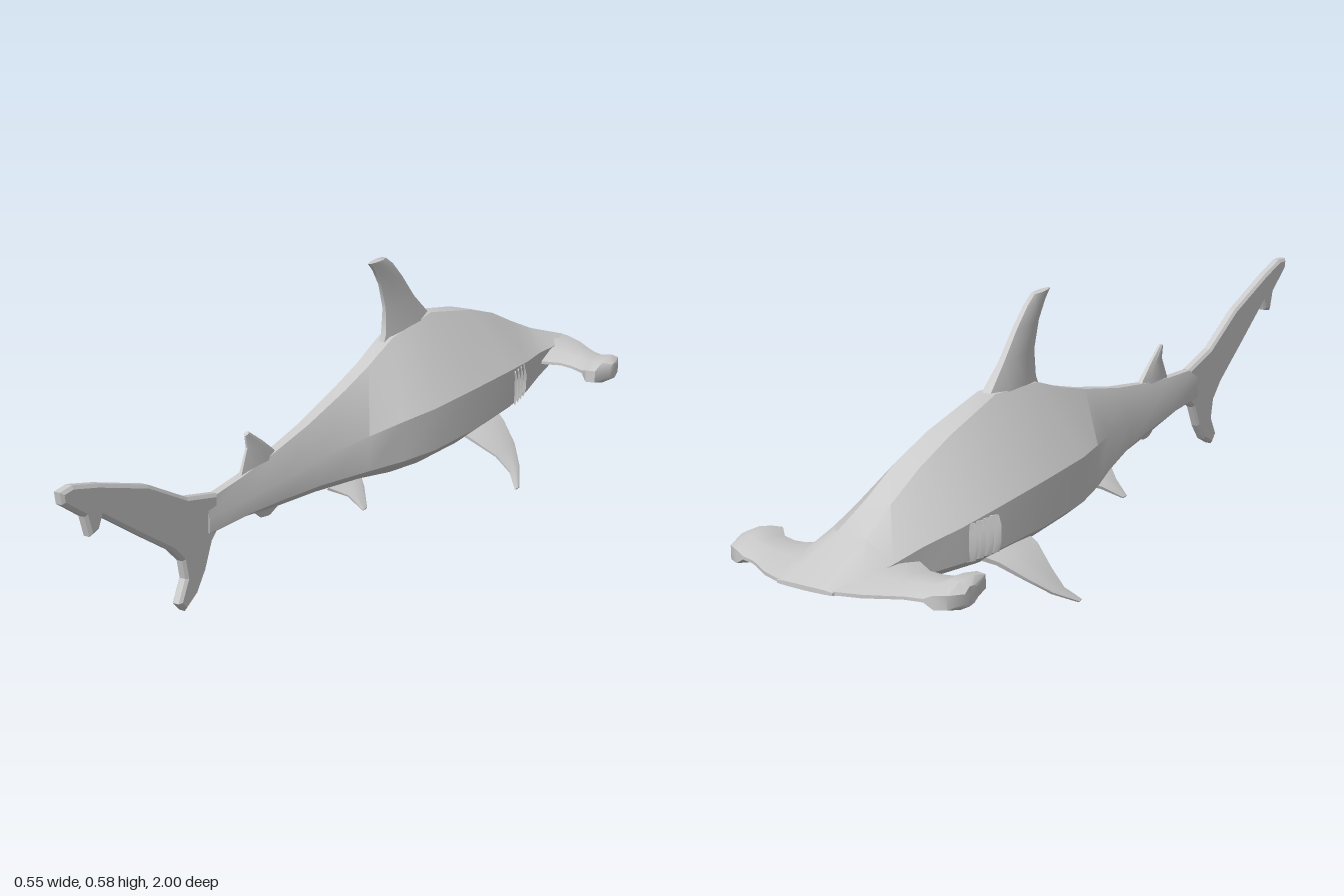
import * as THREE from 'three';
import { toCreasedNormals } from 'three/addons/utils/BufferGeometryUtils.js';

const material = new THREE.MeshStandardMaterial({ color: 0xcccccc });

// Skins a row of closed rings, caps both ends and turns the faces outward.
function loft(rings, crease = 0.6) {
  const n = rings[0].length;
  const points = rings.flat().map((p) => new THREE.Vector3(...p));
  const tris = [];
  for (let r = 0; r < rings.length - 1; r++) {
    for (let i = 0; i < n; i++) {
      const a = r * n + i, b = r * n + (i + 1) % n;
      tris.push([a, b, b + n], [a, b + n, a + n]);
    }
  }
  [0, rings.length - 1].forEach((r, end) => {
    const centre = new THREE.Vector3();
    for (let i = 0; i < n; i++) centre.addScaledVector(points[r * n + i], 1 / n);
    const c = points.push(centre) - 1;
    for (let i = 0; i < n; i++) {
      const a = r * n + i, b = r * n + (i + 1) % n;
      tris.push(end ? [a, b, c] : [b, a, c]);
    }
  });
  const cross = new THREE.Vector3();
  const volume = tris.reduce((sum, [a, b, c]) =>
    sum + points[a].dot(cross.crossVectors(points[b], points[c])), 0);
  if (volume < 0) tris.forEach((t) => t.reverse());
  const geometry = new THREE.BufferGeometry();
  geometry.setAttribute('position', new THREE.Float32BufferAttribute(
    points.flatMap((p) => p.toArray()), 3));
  geometry.setIndex(tris.flat());
  return toCreasedNormals(geometry, crease);
}

// Fin from rows of [front point, back point, half thickness]; side is the thickness direction.
function fin(rows, side) {
  const profile = [[0, 0.5], [0.3, 1], [0.7, 0.8], [1, 0.3]];
  const loop = [...profile, ...profile.map(([t, k]) => [t, -k]).reverse()];
  return loft(rows.map(([front, back, half]) => loop.map(([t, k]) =>
    front.map((f, i) => f + (back[i] - f) * t + side[i] * half * k))));
}

export function createModel() {
  const shark = new THREE.Group();
  shark.name = 'hammerheadShark';
  const add = (name, geometry) => {
    const mesh = new THREE.Mesh(geometry, material);
    mesh.name = name;
    shark.add(mesh);
  };

  // Body: z, ridge y, ridge half width, half width, shoulder y, lower side y, belly y
  const sections = [
    [-1.0, 0.192, 0.05, 0.065, 0.19, 0.184, 0.182],
    [-0.94, 0.211, 0.045, 0.09, 0.197, 0.176, 0.165],
    [-0.85, 0.245, 0.035, 0.1, 0.205, 0.165, 0.14],
    [-0.76, 0.285, 0.03, 0.11, 0.215, 0.155, 0.118],
    [-0.66, 0.332, 0.03, 0.13, 0.225, 0.15, 0.1],
    [-0.55, 0.368, 0.028, 0.142, 0.235, 0.145, 0.083],
    [-0.37, 0.408, 0.022, 0.142, 0.24, 0.14, 0.07],
    [-0.2, 0.39, 0.018, 0.132, 0.24, 0.14, 0.075],
    [-0.1, 0.352, 0.016, 0.108, 0.235, 0.14, 0.085],
    [0.0, 0.322, 0.015, 0.078, 0.225, 0.143, 0.105],
    [0.15, 0.285, 0.012, 0.046, 0.215, 0.152, 0.122],
    [0.28, 0.262, 0.01, 0.034, 0.205, 0.16, 0.135],
    [0.4, 0.246, 0.009, 0.025, 0.2, 0.166, 0.155],
    [0.53, 0.236, 0.009, 0.014, 0.2, 0.165, 0.157],
  ];
  add('body', loft(sections.map(([z, top, ridge, w, shoulder, low, belly]) => {
    const half = [[ridge, top], [w, shoulder], [w, low], [w * 0.65, belly + (low - belly) * 0.4]];
    return [
      ...half.map(([x, y]) => [x, y, z]), [0, belly, z],
      ...half.map(([x, y]) => [-x, y, z]).reverse(),
    ];
  })));

  // Hammer: x, front z, back z, middle y, half thickness
  const wing = [
    [0, -1, -0.76, 0.188, 0.018],
    [0.07, -0.995, -0.76, 0.188, 0.018],
    [0.115, -0.975, -0.78, 0.185, 0.018],
    [0.15, -0.95, -0.8, 0.182, 0.016],
    [0.18, -0.93, -0.798, 0.18, 0.016],
    [0.215, -0.918, -0.785, 0.178, 0.018],
    [0.235, -0.914, -0.765, 0.176, 0.029],
    [0.258, -0.902, -0.77, 0.176, 0.029],
    [0.274, -0.865, -0.82, 0.175, 0.02],
  ];
  const hammer = [...wing.slice(1).reverse().map(([x, ...rest]) => [-x, ...rest]), ...wing];
  add('hammerHead', loft(hammer.map(([x, f, b, y, t]) => {
    const edge = Math.abs(x) > 0.22 ? 0.5 : 0.2;
    const outline = [[0, edge], [0.35, 1], [0.7, 0.9], [1, edge]];
    return [...outline, ...outline.map(([u, k]) => [u, -k]).reverse()]
      .map(([u, k]) => [x, y + t * k, f + (b - f) * u]);
  }), 0.7));

  // Dorsal fins
  add('dorsalFin', fin([
    [[0, 0.36, -0.42], [0, 0.36, -0.17], 0.026],
    [[0, 0.41, -0.37], [0, 0.4, -0.19], 0.022],
    [[0, 0.46, -0.315], [0, 0.46, -0.192], 0.014],
    [[0, 0.52, -0.262], [0, 0.52, -0.172], 0.012],
    [[0, 0.56, -0.22], [0, 0.56, -0.145], 0.011],
    [[0, 0.58, -0.19], [0, 0.58, -0.125], 0.01],
  ], [1, 0, 0]));
  add('rearDorsalFin', fin([
    [[0, 0.235, 0.25], [0, 0.235, 0.4], 0.013],
    [[0, 0.268, 0.275], [0, 0.258, 0.39], 0.011],
    [[0, 0.3, 0.315], [0, 0.3, 0.37], 0.008],
    [[0, 0.335, 0.365], [0, 0.328, 0.375], 0.005],
  ], [1, 0, 0]));
  add('analFin', fin([
    [[0, 0.165, 0.2], [0, 0.17, 0.4], 0.012],
    [[0, 0.14, 0.24], [0, 0.15, 0.35], 0.009],
    [[0, 0.122, 0.285], [0, 0.126, 0.32], 0.005],
  ], [1, 0, 0]));

  // Tail fin, drawn in side profile as z, y
  const tail = new THREE.Shape([
    [0.5, 0.235], [0.6, 0.26], [0.73, 0.33], [0.89, 0.385], [0.965, 0.406], [0.993, 0.404],
    [0.99, 0.388], [0.925, 0.342], [0.912, 0.3], [0.892, 0.305], [0.88, 0.33], [0.755, 0.245],
    [0.65, 0.175], [0.612, 0.137], [0.602, 0.09], [0.626, 0.045], [0.612, 0.03],
    [0.575, 0.05], [0.545, 0.09], [0.52, 0.145], [0.5, 0.162],
  ].map(([z, y]) => new THREE.Vector2(z, y)));
  const tailGeometry = new THREE.ExtrudeGeometry(tail, {
    depth: 0.014, bevelThickness: 0.005, bevelSize: 0.007, bevelSegments: 1,
  });
  tailGeometry.translate(0, 0, -0.007).rotateY(-Math.PI / 2);
  add('tailFin', tailGeometry);

  // Paired fins and gills
  for (const [label, s] of [['left', 1], ['right', -1]]) {
    add(label + 'PectoralFin', fin([
      [[s * 0.09, 0.125, -0.56], [s * 0.09, 0.125, -0.38], 0.013],
      [[s * 0.13, 0.108, -0.535], [s * 0.13, 0.105, -0.385], 0.01],
      [[s * 0.18, 0.07, -0.5], [s * 0.18, 0.068, -0.41], 0.007],
      [[s * 0.215, 0.035, -0.46], [s * 0.215, 0.033, -0.415], 0.005],
      [[s * 0.245, 0.004, -0.405], [s * 0.243, 0.004, -0.39], 0.003],
    ], [s * 0.6, 0.8, 0]));
    add(label + 'PelvicFin', fin([
      [[s * 0.025, 0.115, -0.04], [s * 0.025, 0.12, 0.09], 0.012],
      [[s * 0.06, 0.1, -0.005], [s * 0.06, 0.1, 0.06], 0.007],
      [[s * 0.093, 0.07, 0.035], [s * 0.093, 0.07, 0.052], 0.003],
    ], [s * 0.6, 0.8, 0]));
    // Overlapping gill flaps
    for (let i = 0; i < 4; i++) {
      const z = -0.645 + i * 0.022, x = 0.131 + i * 0.004;
      const row = (y, out) => [[s * (x - 0.006), y, z], [s * (x + out), y, z + 0.02], 0.002];
      add(label + 'Gill' + (i + 1), fin([
        row(0.146, 0.007), row(0.17, 0.013), row(0.205, 0.013), row(0.226, 0.007),
      ], [s, 0, 0]));
    }
  }
  return shark;
}
